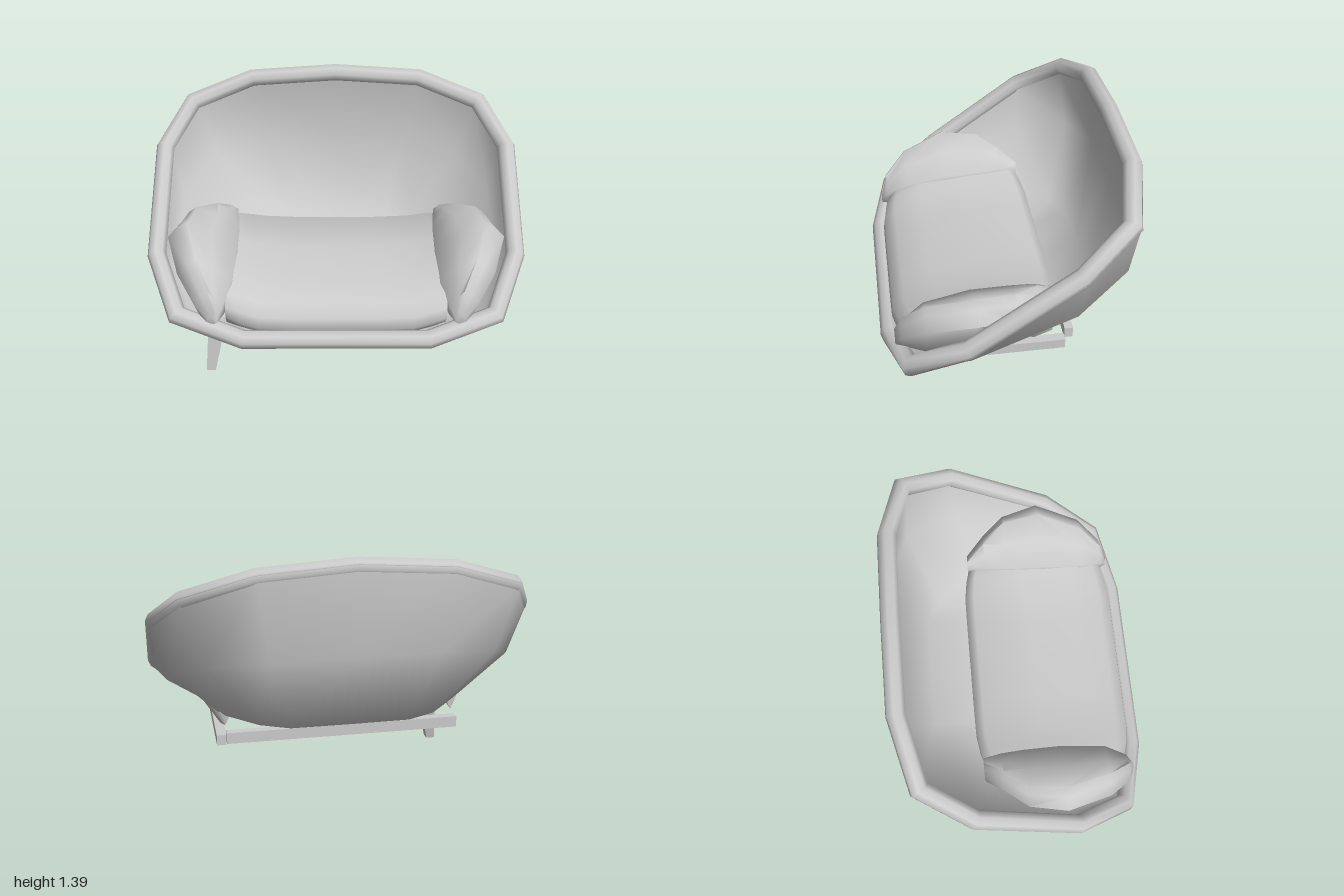
import * as THREE from 'three';
import { toCreasedNormals } from 'three/addons/utils/BufferGeometryUtils.js';

const V = (x, y, z) => new THREE.Vector3(x, y, z);
const grey = () => new THREE.MeshStandardMaterial({ color: 0xcccccc, roughness: 0.8, side: THREE.DoubleSide });

// Skin a list of equal-length closed loops; wrap joins last loop to first, caps close the ends.
function loft(loops, { wrap = false, capStart = false, capEnd = false } = {}) {
  const n = loops[0].length, pts = loops.flat(), idx = [];
  const rows = wrap ? loops.length : loops.length - 1;
  for (let i = 0; i < rows; i++) {
    const a = i * n, b = ((i + 1) % loops.length) * n;
    for (let j = 0; j < n; j++) {
      const k = (j + 1) % n;
      idx.push(a + j, b + j, b + k, a + j, b + k, a + k);
    }
  }
  const cap = (row, flip) => {
    const c = pts.length, base = row * n, mid = V(0, 0, 0);
    loops[row].forEach(p => mid.addScaledVector(p, 1 / n));
    pts.push(mid);
    for (let j = 0; j < n; j++) {
      const p = base + j, q = base + (j + 1) % n;
      flip ? idx.push(c, q, p) : idx.push(c, p, q);
    }
  };
  if (capStart) cap(0, false);
  if (capEnd) cap(loops.length - 1, true);
  // Turn the faces outward whatever the loop direction
  let volume = 0;
  for (let i = 0; i < idx.length; i += 3) {
    volume += pts[idx[i]].dot(V(0, 0, 0).crossVectors(pts[idx[i + 1]], pts[idx[i + 2]]));
  }
  if (volume < 0) idx.reverse();
  const g = new THREE.BufferGeometry().setFromPoints(pts);
  g.setIndex(idx);
  g.computeVertexNormals();
  return g;
}

// Half outline (back centre to front centre) mirrored to a full loop
function mirrorLoop(half) {
  const right = half.map(p => V(...p));
  const left = half.slice(1, -1).reverse().map(([x, y, z]) => V(-x, y, z));
  return right.concat(left);
}

const rimPath = mirrorLoop([
  [0, 1.34, -0.61], [0.475, 1.308, -0.61], [0.815, 1.195, -0.53], [0.951, 1.03, -0.28],
  [0.953, 0.655, 0.25], [0.825, 0.465, 0.53], [0.48, 0.373, 0.617], [0, 0.373, 0.617]]);

// Rim outline moved outward and up from its own plane, with mitred corners
function rimLoop(outward, raise) {
  const up = V(0, 0.785, 0.62), n = rimPath.length;
  return rimPath.map((p, i) => {
    const d1 = p.clone().sub(rimPath[(i + n - 1) % n]).normalize();
    const d2 = rimPath[(i + 1) % n].clone().sub(p).normalize();
    const t = d1.clone().add(d2).normalize();
    const out = V(0, 0, 0).crossVectors(up, t).normalize();
    const lift = V(0, 0, 0).crossVectors(t, out);
    return p.clone().addScaledVector(out, outward / t.dot(d1)).addScaledVector(lift, raise);
  });
}

function rimGeometry(radius, sides) {
  return loft(Array.from({ length: sides }, (_, k) => {
    const a = k / sides * Math.PI * 2;
    return rimLoop(Math.cos(a) * radius, Math.sin(a) * radius);
  }), { wrap: true });
}

// Bowl from the rim down to the flat bottom; scale and raise set the inner skin off the outer one
function shellGeometry(edge, scale, raise) {
  const middle = [
    [0, 0.9, -0.665], [0.43, 0.9, -0.662], [0.73, 0.86, -0.56], [0.9, 0.75, -0.28],
    [0.9, 0.53, 0.24], [0.79, 0.42, 0.49], [0.46, 0.347, 0.59], [0, 0.345, 0.595]];
  const lower = [
    [0, 0.49, -0.495], [0.31, 0.49, -0.492], [0.46, 0.49, -0.42], [0.635, 0.475, -0.2],
    [0.71, 0.42, 0.2], [0.66, 0.375, 0.42], [0.42, 0.338, 0.54], [0, 0.336, 0.55]];
  const bottom = [
    [0, 0.405, -0.22], [0.3, 0.405, -0.21], [0.42, 0.4, -0.17], [0.5, 0.375, -0.04],
    [0.52, 0.345, 0.2], [0.46, 0.337, 0.36], [0.3, 0.335, 0.45], [0, 0.335, 0.46]];
  const base = bottom.map(([x, , z]) => [x * 0.5, 0.335, 0.2 + (z - 0.2) * 0.5]);
  const rings = [middle, lower, bottom, base].map(ring =>
    mirrorLoop(ring.map(([x, y, z]) => [x * scale, y + raise, z * scale])));
  return loft([edge, ...rings], { capEnd: true });
}

// Seat pad: one side profile (z, y) swept across x, rising and shortening at the ends
function seatGeometry() {
  const profile = [[-0.25, 0.48], [-0.25, 0.585], [-0.2, 0.622], [0.1, 0.615], [0.38, 0.585], [0.53, 0.535],
    [0.59, 0.48], [0.6, 0.42], [0.56, 0.37], [0.3, 0.355], [-0.12, 0.4]];
  const loops = [-0.57, -0.5, -0.4, -0.22, 0, 0.22, 0.4, 0.5, 0.57].map(x => {
    const e = Math.max(0, (Math.abs(x) - 0.36) / 0.2);
    return profile.map(([z, y]) => V(x, y + 0.045 * e, 0.17 + (z - 0.17) * (1 - 0.08 * e * e)));
  });
  return toCreasedNormals(loft(loops, { capStart: true, capEnd: true }), 1.3);
}

// Side bolster: sections along z given as inner edge, crest, outer edge and underside
function bolsterGeometry(side) {
  const sections = [
    [0.595, 0.61, 0.48, 0.63, 0.53, 0.66, 0.49, 0.63, 0.45],
    [0.56, 0.58, 0.545, 0.66, 0.63, 0.73, 0.56, 0.64, 0.43],
    [0.44, 0.54, 0.62, 0.73, 0.745, 0.82, 0.66, 0.69, 0.42],
    [0.2, 0.53, 0.667, 0.8, 0.82, 0.895, 0.735, 0.72, 0.45],
    [0, 0.535, 0.675, 0.77, 0.805, 0.85, 0.71, 0.67, 0.46],
    [-0.12, 0.545, 0.68, 0.67, 0.76, 0.75, 0.68, 0.64, 0.4],
    [-0.22, 0.56, 0.665, 0.6, 0.69, 0.65, 0.64, 0.62, 0.42]];
  const loops = sections.map(([z, xi, yi, xc, yc, xo, yo, xb, yb]) => [
    [xi, yi], [xi * 0.5 + xc * 0.5, yi * 0.45 + yc * 0.55], [xc - 0.01, yc], [xc * 0.6 + xo * 0.4, yc * 0.7 + yo * 0.3],
    [xo, yo], [(xo + xb) / 2 + 0.02, (yo + yb) / 2], [xb, yb], [xi, (yi + yb) / 2]].map(([x, y]) => V(side * x, y, z)));
  return toCreasedNormals(loft(loops, { capStart: true, capEnd: true }), 1.2);
}

// Leg with rectangular sections: [y, xMin, xMax, zMin, zMax]
function legGeometry(sections) {
  const loops = sections.map(([y, x0, x1, z0, z1]) => [V(x0, y, z0), V(x1, y, z0), V(x1, y, z1), V(x0, y, z1)]);
  return toCreasedNormals(loft(loops, { capStart: true, capEnd: true }), 0.5);
}

export function createModel() {
  const group = new THREE.Group();
  const add = (name, geometry) => {
    const mesh = new THREE.Mesh(geometry, grey());
    mesh.name = name;
    group.add(mesh);
    return mesh;
  };

  // Shell, rim and cushions
  add('outerShell', shellGeometry(rimLoop(0.046, -0.01), 1, 0));
  add('innerShell', shellGeometry(rimLoop(-0.03, 0.01), 0.965, 0.012));
  add('rim', rimGeometry(0.049, 8));
  add('seatCushion', seatGeometry());
  add('leftBolster', bolsterGeometry(1));
  add('rightBolster', bolsterGeometry(-1));

  // Frame rails
  const rail = (name, x0, x1, y0, y1, z0, z1) =>
    add(name, new THREE.BoxGeometry(x1 - x0, y1 - y0, z1 - z0))
      .position.set((x0 + x1) / 2, (y0 + y1) / 2, (z0 + z1) / 2);
  rail('frontRail', -0.62, 0.62, 0.25, 0.31, 0.31, 0.355);
  rail('backRail', -0.62, 0.62, 0.36, 0.42, -0.33, -0.285);
  rail('sideRail', 0.62, 0.67, 0.335, 0.39, -0.28, 0.305);

  // Tapered front leg
  add('frontLeg', legGeometry([
    [0, -0.715, -0.665, 0.355, 0.41],
    [0.23, -0.695, -0.613, 0.3, 0.39],
    [0.3, -0.687, -0.602, 0.29, 0.384],
    [0.4, -0.678, -0.6, 0.3, 0.375]]));

  return group;
}
